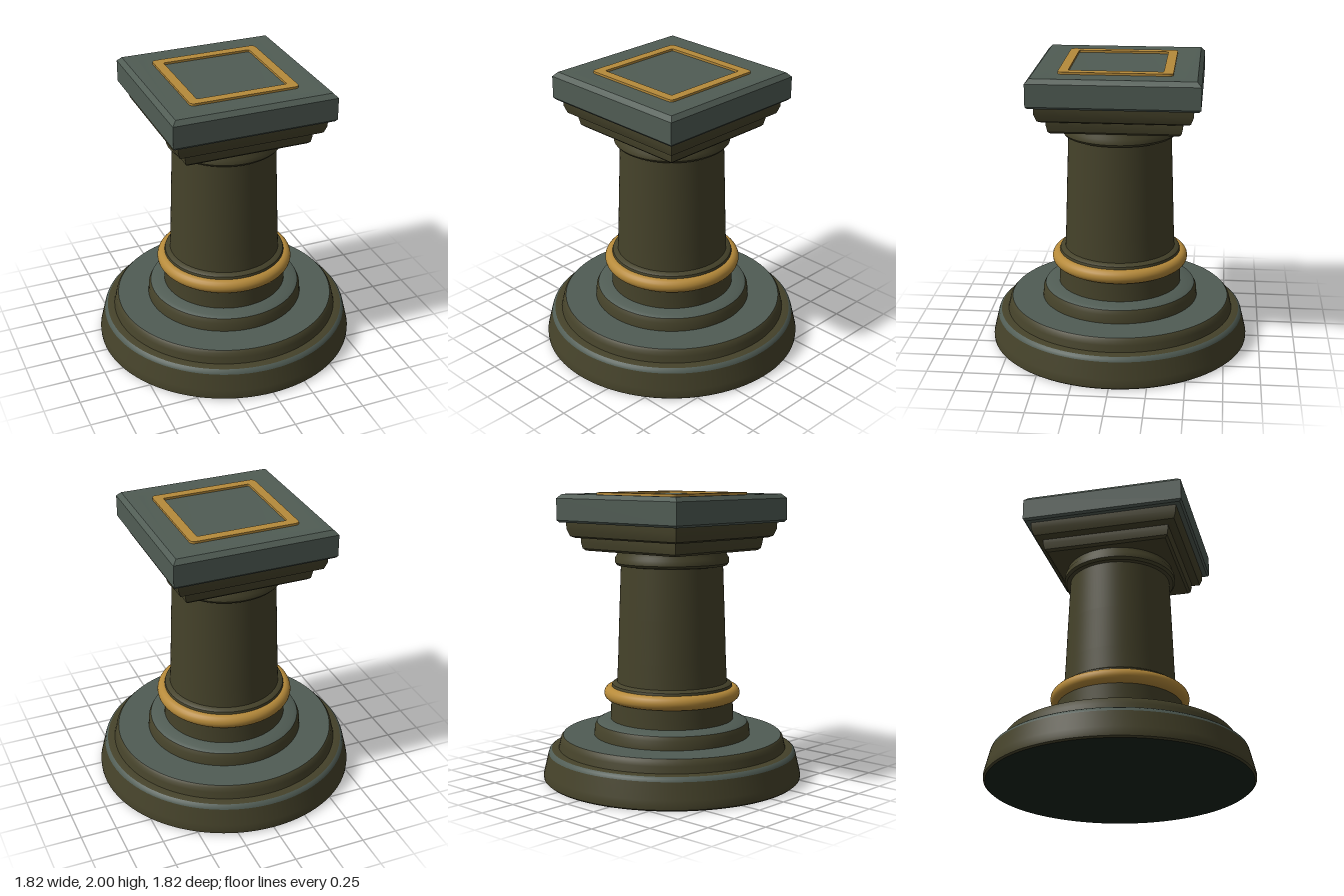
import * as THREE from 'three';
import { toCreasedNormals } from 'three/addons/utils/BufferGeometryUtils.js';

const material = (name, color) => {
  const m = new THREE.MeshStandardMaterial({ color });
  m.name = name;
  return m;
};

export function createModel() {
  const group = new THREE.Group();
  const olive = material('dark olive stone', 0x45422a);
  const slate = material('slate stone', 0x505c54);
  const gold = material('gold trim', 0xb68a3a);
  const dark = material('dark underside', 0x16241a);

  const add = (name, geometry, mat) => {
    const mesh = new THREE.Mesh(geometry, mat);
    mesh.name = name;
    group.add(mesh);
    return mesh;
  };
  const points = (profile) => profile.map(([r, y]) => new THREE.Vector2(r, y));
  // Round part from a [radius, height] profile listed upwards
  const round = (name, profile, mat) =>
    add(name, toCreasedNormals(new THREE.LatheGeometry(points(profile), 96), 0.6), mat);
  // Square part from a [half width, height] profile listed upwards
  const square = (name, profile, mat) => {
    const scaled = profile.map(([h, y]) => [h * Math.SQRT2, y]);
    const geometry = new THREE.LatheGeometry(points(scaled), 4, Math.PI / 4);
    return add(name, toCreasedNormals(geometry, 0.3), mat);
  };

  // Stepped round plinth
  round('underside', [[0, 0], [0.895, 0]], dark);
  round('plinth', [[0.895, 0], [0.907, 0.01], [0.908, 0.035], [0.9, 0.07], [0.872, 0.185]], olive);
  round('plinthShoulder', [[0.872, 0.185], [0.865, 0.203], [0.85, 0.214]], slate);
  round('plinthLedge', [[0.85, 0.214], [0.83, 0.218], [0.8, 0.22]], olive);
  round('upperPlinth', [[0.8, 0.22], [0.79, 0.265], [0.782, 0.295], [0.768, 0.31]], olive);
  round('upperPlinthTop', [[0.768, 0.31], [0.53, 0.31]], slate);

  // Base ring and drum below the gold band
  round('baseRing', [[0.55, 0.31], [0.545, 0.37], [0.53, 0.4]], olive);
  round('baseRingTop', [[0.53, 0.4], [0.505, 0.413], [0.42, 0.422]], slate);
  round('drum', [[0.432, 0.41], [0.428, 0.56], [0.428, 0.64], [0.42, 0.67], [0.4, 0.683], [0.37, 0.688]], olive);

  // Gold band around the drum
  const band = new THREE.TorusGeometry(0.428, 0.049, 20, 96);
  band.rotateX(Math.PI / 2);
  add('goldBand', band, gold).position.y = 0.605;

  // Tapered shaft with the round neck of the capital
  round('shaft', [[0.386, 0.68], [0.378, 0.85], [0.368, 1.15], [0.355, 1.5]], olive);
  round('neck', [[0.35, 1.498], [0.382, 1.503], [0.396, 1.52], [0.394, 1.555], [0.38, 1.575], [0.376, 1.615]], olive);

  // Square steps of the capital
  square('lowerCapitalStep', [[0, 1.597], [0.42, 1.6], [0.437, 1.615], [0.446, 1.66], [0.446, 1.69], [0.4, 1.7]], olive);
  square('upperCapitalStep', [[0, 1.687], [0.472, 1.688], [0.498, 1.7], [0.515, 1.75], [0.517, 1.797]], olive);

  // Square cap with a bevelled edge and a shallow sunken top
  square('cap', [
    [0, 1.795], [0.55, 1.795], [0.563, 1.81], [0.563, 1.96], [0.535, 1.99],
    [0.5, 1.99], [0.44, 1.985], [0, 1.985],
  ], slate);

  // Gold square inlay frame on the cap
  const roundedSquare = (target, h, r) => {
    target.moveTo(-h + r, -h);
    [[1, -1], [1, 1], [-1, 1], [-1, -1]].forEach(([x, y], i) => {
      const [nx, ny] = i % 2 ? [-x, 0] : [0, -y];
      const [px, py] = i % 2 ? [0, -y] : [-x, 0];
      target.lineTo(x * h + px * r, y * h + py * r);
      target.quadraticCurveTo(x * h, y * h, x * h + nx * r, y * h + ny * r);
    });
    return target;
  };
  const frame = roundedSquare(new THREE.Shape(), 0.376, 0.035);
  frame.holes.push(roundedSquare(new THREE.Path(), 0.312, 0.012));
  const inlay = new THREE.ExtrudeGeometry(frame, { depth: 0.018, bevelEnabled: false, curveSegments: 6 });
  inlay.rotateX(-Math.PI / 2);
  add('goldInlay', inlay, gold).position.y = 1.982;

  return group;
}
